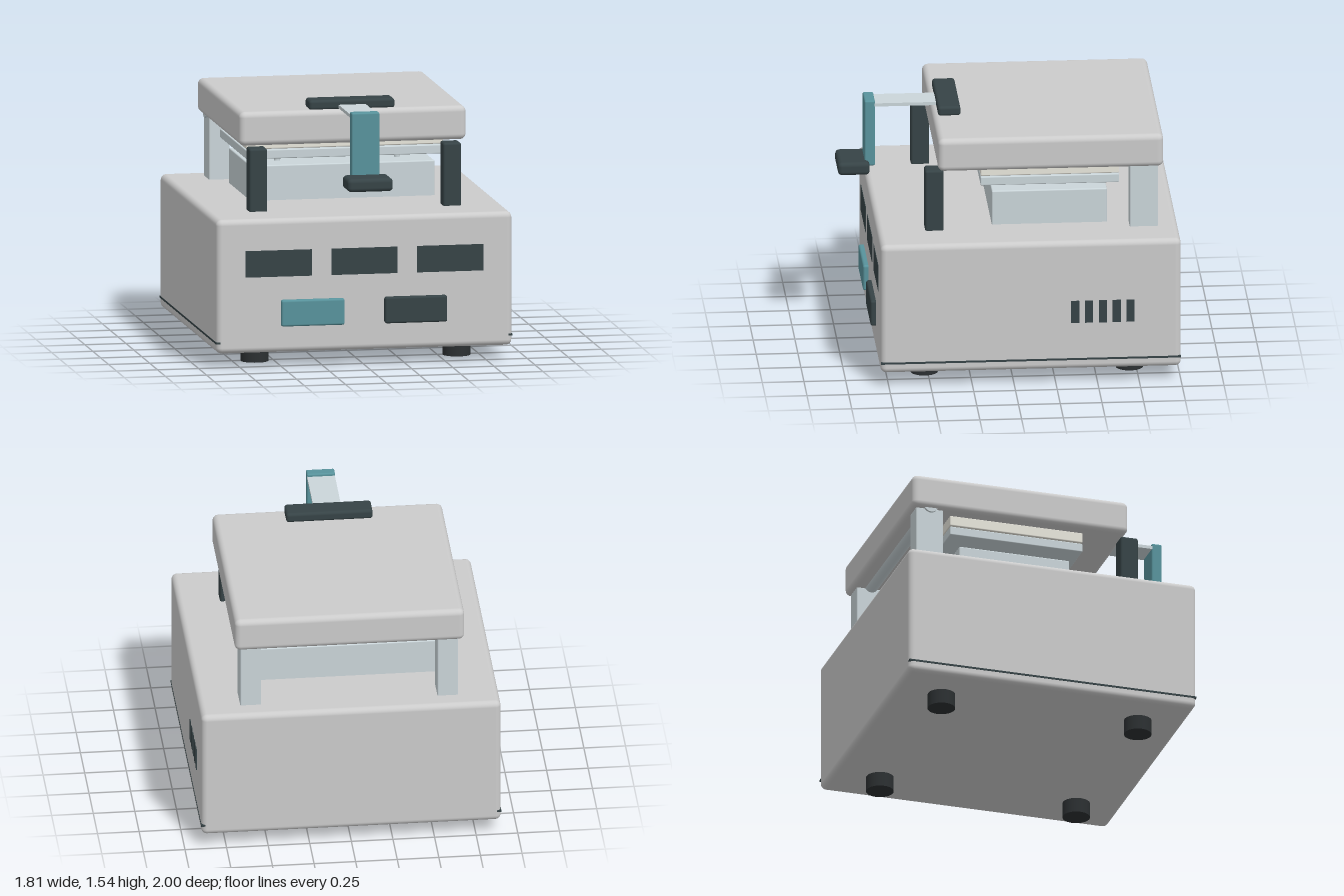
import * as THREE from 'three';
import { RoundedBoxGeometry } from 'three/addons/geometries/RoundedBoxGeometry.js';

const mat = (color) => new THREE.MeshStandardMaterial({ color });
const grey = mat(0xcccccc);
const dark = mat(0x364346);
const teal = mat(0x58939c);
const steel = mat(0xcad5d9);
const cream = mat(0xe8e6dc);
const rubber = mat(0x2c3032);

export function createModel() {
  const group = new THREE.Group();

  const add = (name, geometry, material, x, y, z) => {
    const mesh = new THREE.Mesh(geometry, material);
    mesh.name = name;
    mesh.position.set(x, y, z);
    group.add(mesh);
    return mesh;
  };

  // Box given by its [min, max] extents; r > 0 rounds the edges
  const box = (name, material, [x0, x1], [y0, y1], [z0, z1], r = 0) => {
    const size = [x1 - x0, y1 - y0, z1 - z0];
    const geometry = r ? new RoundedBoxGeometry(...size, 4, r) : new THREE.BoxGeometry(...size);
    return add(name, geometry, material, (x0 + x1) / 2, (y0 + y1) / 2, (z0 + z1) / 2);
  };

  // Cylinder lying along x
  const rod = (name, material, r, length, y, z) => {
    add(name, new THREE.CylinderGeometry(r, r, length, 24), material, 0, y, z).rotation.z = Math.PI / 2;
  };

  // Housing with base seam
  box('housing', grey, [-0.9, 0.9], [0.09, 0.9], [-1, 0.8], 0.035);
  box('baseSeam', dark, [-0.902, 0.902], [0.149, 0.161], [-0.998, 0.798]);

  // Feet
  for (const x of [-0.615, 0.615]) {
    for (const z of [0.52, -0.71]) {
      add('foot', new THREE.CylinderGeometry(0.083, 0.083, 0.1, 32), rubber, x, 0.05, z);
    }
  }

  // Front panel: three displays and two buttons
  for (const x of [-0.522, 0, 0.522]) {
    box('display', dark, [x - 0.202, x + 0.202], [0.55, 0.71], [0.78, 0.803]);
  }
  box('leftButton', teal, [-0.51, -0.125], [0.25, 0.41], [0.79, 0.832], 0.013);
  box('rightButton', dark, [0.12, 0.5], [0.25, 0.41], [0.79, 0.832], 0.013);

  // Side vents
  for (let i = 0; i < 5; i++) {
    const z = -0.365 - i * 0.083;
    box('vent', dark, [0.88, 0.904], [0.385, 0.525], [z - 0.024, z + 0.024]);
  }

  // Heater block, sprung pins and platens
  box('heaterBlock', steel, [-0.56, 0.56], [0.89, 1.112], [-0.58, 0.11], 0.008);
  for (const z of [-0.07, -0.39]) {
    for (const x of [-0.365, 0.365]) {
      add('pin', new THREE.CylinderGeometry(0.019, 0.019, 0.07, 16), steel, x, 1.135, z);
      add('pinCollar', new THREE.CylinderGeometry(0.028, 0.028, 0.03, 16), cream, x, 1.153, z);
    }
    rod('pinRod', steel, 0.008, 0.73, 1.145, z);
  }
  box('lowerPlaten', steel, [-0.6, 0.6], [1.163, 1.217], [-0.65, 0.18], 0.006);
  box('upperPlaten', cream, [-0.6, 0.6], [1.222, 1.29], [-0.65, 0.18], 0.008);

  // Rear hinge posts and front stop posts
  for (const s of [-1, 1]) {
    const span = (a, b) => (s > 0 ? [a, b] : [-b, -a]);
    box('hingePost', steel, span(0.53, 0.655), [0.89, 1.29], [-0.88, -0.71], 0.008);
    box('stopPost', dark, span(0.535, 0.645), [0.89, 1.28], [0.405, 0.515], 0.014);
  }
  rod('hingePin', steel, 0.045, 1.34, 1.308, -0.79);

  // Lid
  box('lid', grey, [-0.69, 0.69], [1.285, 1.49], [-0.91, 0.44], 0.035);

  // Latch: mount, flat arm, drop lever and grip
  box('latchMount', dark, [-0.26, 0.26], [1.485, 1.545], [0.275, 0.41], 0.018);
  box('latchArm', steel, [-0.083, 0.083], [1.495, 1.515], [0.35, 0.83]);
  box('latchLever', teal, [-0.085, 0.085], [1.12, 1.532], [0.775, 0.838], 0.01);
  box('latchGrip', dark, [-0.138, 0.138], [1.077, 1.157], [0.81, 1], 0.025);

  return group;
}
